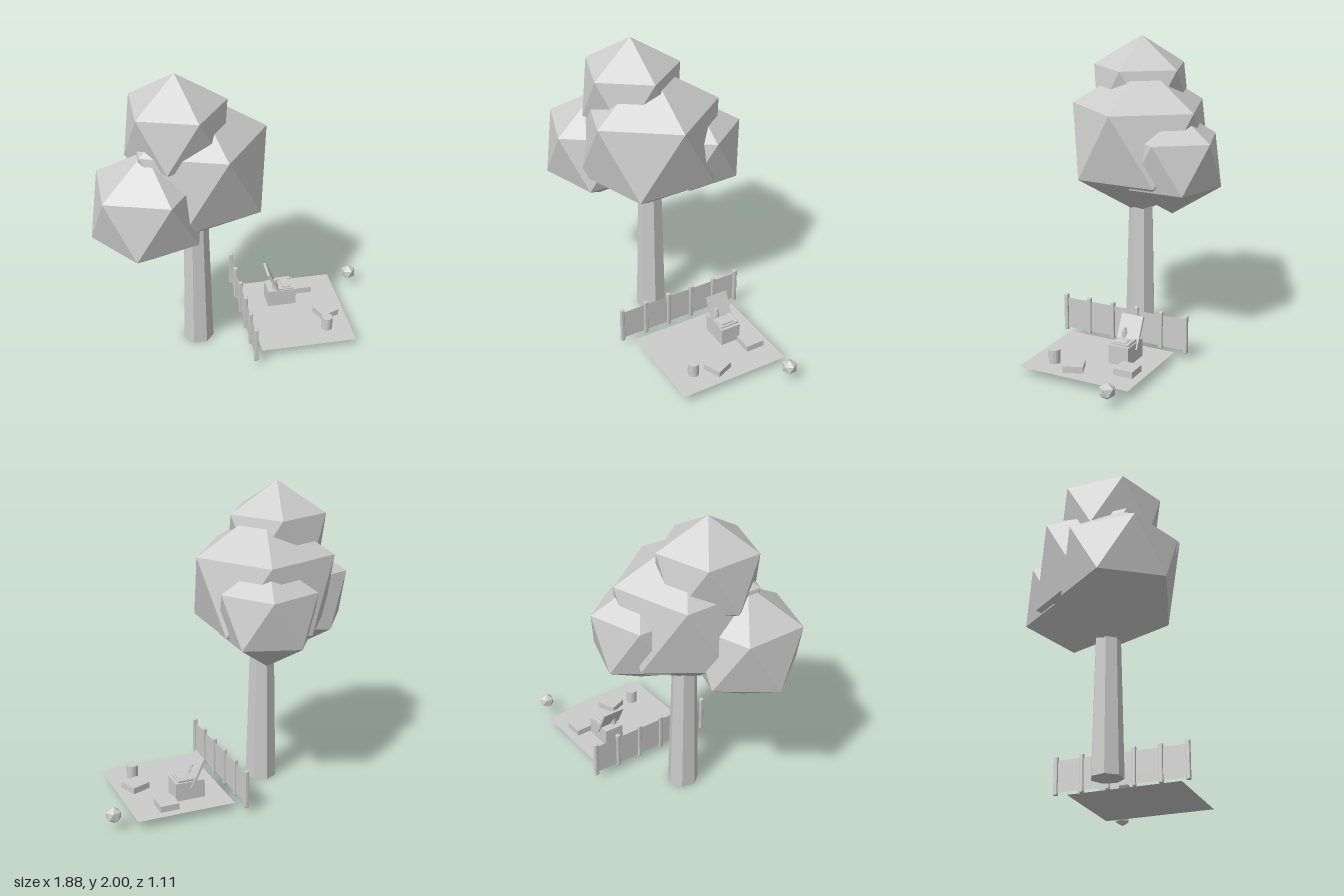
import * as THREE from 'three';
import { RoundedBoxGeometry } from 'three/addons/geometries/RoundedBoxGeometry.js';

const grey = new THREE.MeshStandardMaterial({ color: 0xcccccc, flatShading: true });
const greySheet = new THREE.MeshStandardMaterial({ color: 0xcccccc, flatShading: true, side: THREE.DoubleSide });

export function createModel() {
  const model = new THREE.Group();

  const add = (parent, name, geometry, x, y, z, material = grey) => {
    const mesh = new THREE.Mesh(geometry, material);
    mesh.name = name;
    mesh.position.set(x, y, z);
    parent.add(mesh);
    return mesh;
  };
  const group = (name) => {
    const g = new THREE.Group();
    g.name = name;
    model.add(g);
    return g;
  };
  // Icosahedron standing on a corner, one corner of its upper ring towards +x
  const ico = (r) => new THREE.IcosahedronGeometry(r, 0)
    .rotateX(-Math.atan((1 + Math.sqrt(5)) / 2))
    .rotateY(Math.PI / 2);
  const box = (w, h, d) => new THREE.BoxGeometry(w, h, d);

  // Tree: seven-sided tapered trunk and four leafy clumps
  const tree = group('tree');
  add(tree, 'trunk', new THREE.CylinderGeometry(0.079, 0.103, 1, 7).rotateY(Math.PI), -0.265, 0.5, 0.01);
  const clumps = [
    ['mainFoliage', 0.51, -0.267, 1.339, 0.013],
    ['topFoliage', 0.356, -0.385, 1.644, 0.073],
    ['rightFoliage', 0.39, -0.593, 1.19, 0.22],
    ['backFoliage', 0.35, -0.177, 1.238, -0.258],
  ];
  for (const [name, r, x, y, z] of clumps) add(tree, name, ico(r), x, y, z);

  // Fence: six posts carrying one thin panel
  const fence = group('fence');
  for (let i = 0; i < 6; i++) {
    add(fence, 'fencePost', new RoundedBoxGeometry(0.027, 0.254, 0.027, 1, 0.005), 0.055, 0.169, 0.407 - i * 0.1757);
  }
  add(fence, 'fencePanel', new THREE.PlaneGeometry(0.879, 0.212).rotateY(Math.PI / 2), 0.055, 0.164, -0.032, greySheet);

  // Picnic blanket
  const picnic = group('picnic');
  add(picnic, 'blanket', new THREE.PlaneGeometry(0.646, 0.762).rotateX(-Math.PI / 2), 0.434, 0.058, -0.038, greySheet);

  // Hamper with its lid leaning open
  add(picnic, 'hamper', box(0.196, 0.122, 0.138), 0.352, 0.119, -0.194);
  const lid = add(picnic, 'hamperLid', box(0.016, 0.212, 0.152), 0.299, 0.228, -0.196);
  lid.rotation.z = 0.45;

  // Food in the hamper
  add(picnic, 'jar', new THREE.CylinderGeometry(0.02, 0.022, 0.05, 8), 0.309, 0.2, -0.165);
  add(picnic, 'jarCap', new THREE.CylinderGeometry(0.013, 0.018, 0.03, 8), 0.306, 0.237, -0.165);
  add(picnic, 'hamperTray', box(0.1, 0.012, 0.118), 0.38, 0.184, -0.19);
  add(picnic, 'sandwich', new RoundedBoxGeometry(0.06, 0.024, 0.09, 1, 0.006), 0.386, 0.192, -0.188);
  add(picnic, 'breadRoll', new RoundedBoxGeometry(0.11, 0.02, 0.025, 1, 0.006), 0.38, 0.192, -0.247);

  // Two flat boxes and a can on the blanket
  add(picnic, 'flatBox', box(0.126, 0.042, 0.13), 0.527, 0.079, -0.298);
  const turned = add(picnic, 'turnedFlatBox', box(0.13, 0.042, 0.126), 0.626, 0.079, 0.022);
  turned.rotation.y = 0.38;
  add(picnic, 'can', new THREE.CylinderGeometry(0.037, 0.037, 0.09, 16), 0.594, 0.103, 0.182);

  // Ball beside the blanket
  add(model, 'ball', ico(0.053), 0.894, 0.106, -0.356);

  return model;
}
